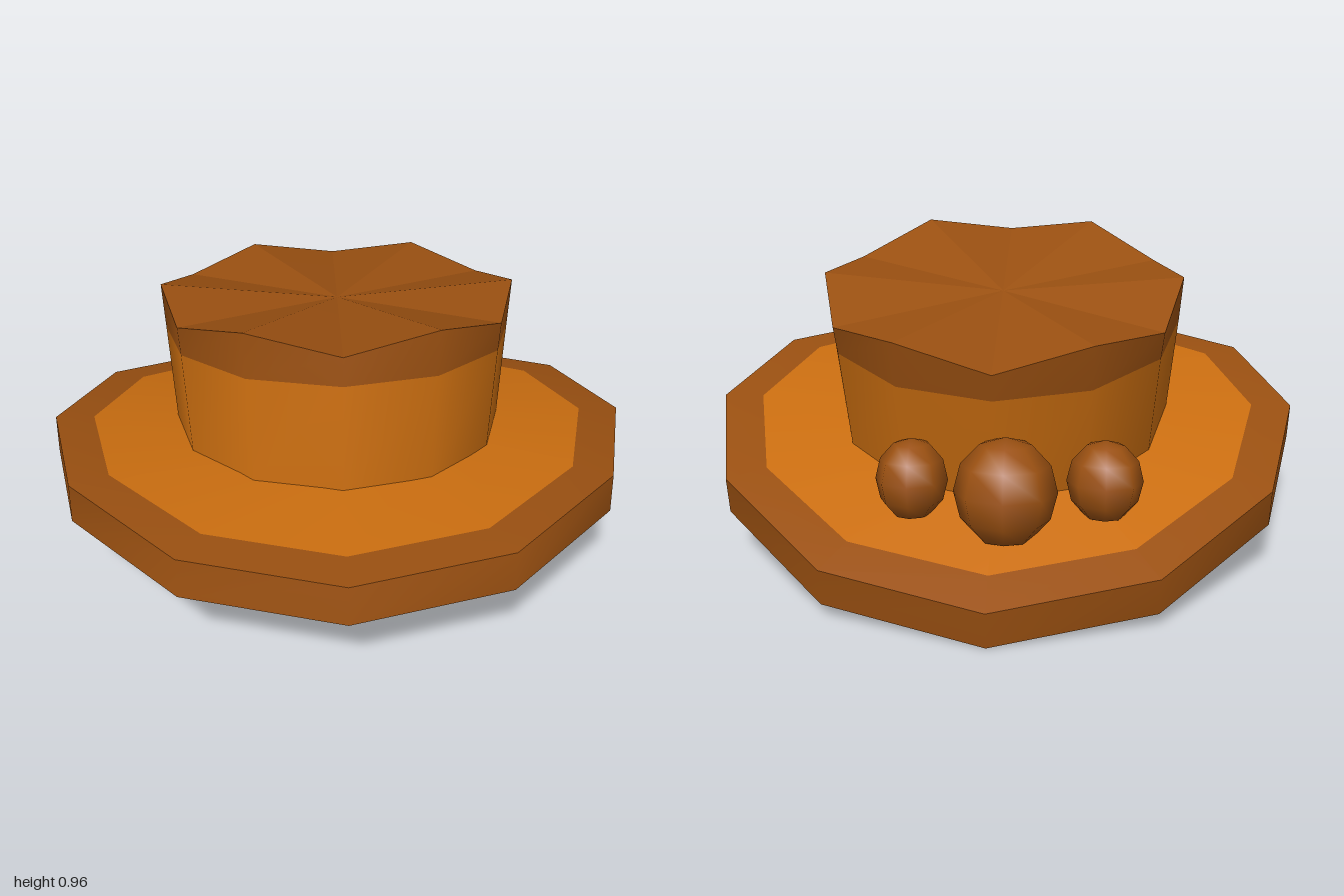
import * as THREE from 'three';
import { toCreasedNormals } from 'three/addons/utils/BufferGeometryUtils.js';

const SIDES = 12;

// Height of the bent brim along z: level at the front, drooping at the back
const BEND = [[-1, 0.13], [-0.87, 0.18], [-0.52, 0.3], [-0.02, 0.41], [0.49, 0.47], [0.84, 0.46], [0.98, 0.455]];
function brimHeight(z) {
  if (z <= BEND[0][0]) return BEND[0][1];
  for (let i = 1; i < BEND.length; i++) {
    const [z0, y0] = BEND[i - 1], [z1, y1] = BEND[i];
    if (z <= z1) return y0 + (y1 - y0) * (z - z0) / (z1 - z0);
  }
  return BEND[BEND.length - 1][1];
}

// Twelve-sided ring, counterclockwise from above, starting at the front
function ring(rx, rz, cz, height) {
  return Array.from({ length: SIDES }, (_, i) => {
    const a = i / SIDES * Math.PI * 2;
    const z = cz + rz * Math.cos(a);
    return [rx * Math.sin(a), height(z, i), z];
  });
}
const point = (y, z) => Array.from({ length: SIDES }, () => [0, y, z]);

// Joins successive rings; slots gives the material index of each band
function loft(rings, slots, crease) {
  const pos = [], groups = [];
  for (let k = 0; k < rings.length - 1; k++) {
    const a = rings[k], b = rings[k + 1], start = pos.length / 3;
    const tri = (p, q, r) => {
      if (p !== q && q !== r && !(p[0] === q[0] && p[2] === q[2]) && !(q[0] === r[0] && q[2] === r[2])) pos.push(...p, ...q, ...r);
    };
    for (let i = 0; i < SIDES; i++) {
      const j = (i + 1) % SIDES;
      tri(a[i], a[j], b[j]);
      tri(a[i], b[j], b[i]);
    }
    groups.push([start, pos.length / 3 - start, slots[k]]);
  }
  const g = new THREE.BufferGeometry();
  g.setAttribute('position', new THREE.Float32BufferAttribute(pos, 3));
  groups.forEach(([s, n, m]) => g.addGroup(s, n, m));
  return toCreasedNormals(g, crease);
}

export function createModel() {
  const orange = new THREE.MeshStandardMaterial({ color: 0xcb6e10 });
  orange.name = 'orange felt';
  const brown = new THREE.MeshStandardMaterial({ color: 0x9a5011 });
  brown.name = 'brown trim';
  const mats = [orange, brown];
  const hat = new THREE.Group();
  hat.name = 'hat';
  const add = (name, geometry, material) => {
    const m = new THREE.Mesh(geometry, material);
    m.name = name;
    hat.add(m);
    return m;
  };

  // Brim: from the underside centre, out around the rim, in to the crown
  const under = (z) => brimHeight(z - 0.015) - 0.125;
  add('brim', loft([
    point(0.155, 0),
    ring(0.86, 0.86, 0.01, (z) => under(z) - 0.005),
    ring(1, 0.985, 0.005, under),
    ring(1, 0.985, -0.015, brimHeight),
    ring(0.865, 0.855, -0.015, brimHeight),
    ring(0.5, 0.5, -0.02, brimHeight),
  ], [0, 1, 1, 1, 0], 0.7), mats);

  // Crown wall with a dark band along its wavy upper edge
  const heights = [0.925, 0.97, 0.875, 0.885, 0.78, 0.8, 0.73];
  const edge = ring(0.6, 0.59, -0.1, (z, i) => heights[Math.min(i, SIDES - i)]);
  add('crownWall', loft([
    ring(0.568, 0.55, -0.02, (z) => brimHeight(z) - 0.01),
    ring(0.591, 0.583, -0.082, (z) => 0.83 + (z - 0.5) * 0.162),
    edge,
  ], [0, 1], 0.7), mats);

  // Faceted crown top
  add('crownTop', loft([edge, point(0.83, -0.095)], [1], 0.01), mats);

  // Three berries at the back
  const berries = [
    ['middleBerry', -0.04, 0.36, -0.68, 0.158, 0.168, 0.15],
    ['rightBerry', -0.34, 0.365, -0.595, 0.118, 0.128, 0.118],
    ['leftBerry', 0.252, 0.365, -0.61, 0.112, 0.128, 0.118],
  ];
  for (const [name, x, y, z, sx, sy, sz] of berries) {
    const b = add(name, new THREE.SphereGeometry(1, 8, 6), brown);
    b.position.set(x, y, z);
    b.scale.set(sx, sy, sz);
    b.rotation.x = 0.15;
  }
  return hat;
}
